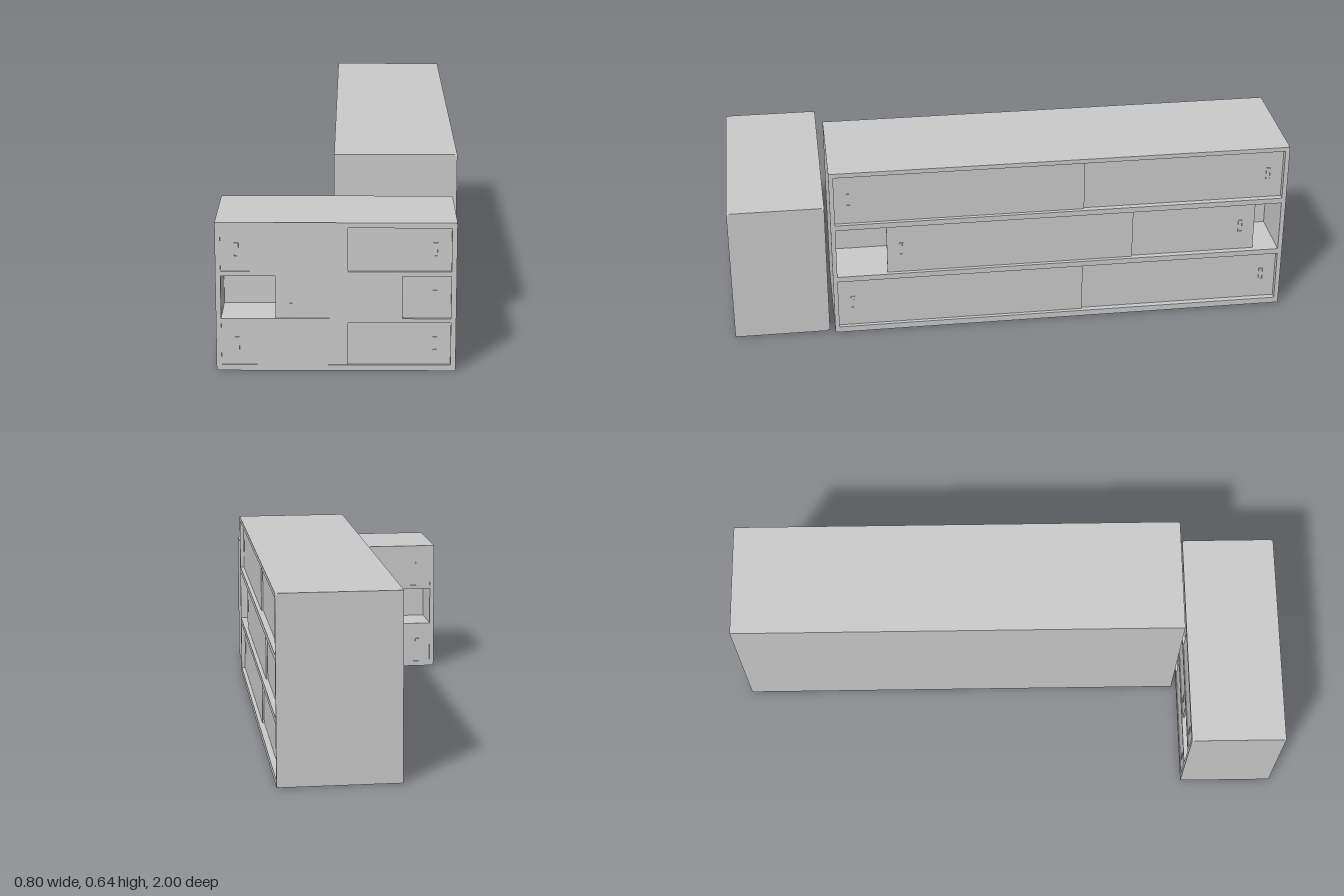
import * as THREE from 'three';

const mat = new THREE.MeshStandardMaterial({ color: 0xcccccc, side: THREE.DoubleSide });

function mesh(parent, name, geo) {
  const m = new THREE.Mesh(geo, mat);
  m.name = name;
  parent.add(m);
  return m;
}

// Box given by its minimum and maximum corners
function box(parent, name, x0, x1, y0, y1, z0, z1) {
  const m = mesh(parent, name, new THREE.BoxGeometry(x1 - x0, y1 - y0, z1 - z0));
  m.position.set((x0 + x1) / 2, (y0 + y1) / 2, (z0 + z1) / 2);
  return m;
}

function rect(target, x0, x1, y0, y1) {
  target.moveTo(x0, y0).lineTo(x1, y0).lineTo(x1, y1).lineTo(x0, y1).closePath();
  return target;
}

function roundedRect(x0, x1, y0, y1, r) {
  const s = new THREE.Shape();
  s.moveTo(x0 + r, y0).lineTo(x1 - r, y0).quadraticCurveTo(x1, y0, x1, y0 + r);
  s.lineTo(x1, y1 - r).quadraticCurveTo(x1, y1, x1 - r, y1);
  s.lineTo(x0 + r, y1).quadraticCurveTo(x0, y1, x0, y1 - r);
  s.lineTo(x0, y0 + r).quadraticCurveTo(x0, y0, x0 + r, y0);
  return s;
}

// Small rectangular finger pull: a thin raised rim around a shallow cup
function handle(parent, x, y, z, s) {
  const shape = rect(new THREE.Shape(), -0.0075, 0.0075, -0.023, 0.023);
  shape.holes.push(rect(new THREE.Path(), s > 0 ? -0.006 : -0.003, s > 0 ? 0.003 : 0.006, -0.021, 0.021));
  const m = mesh(parent, 'handle', new THREE.ExtrudeGeometry(shape, { depth: 0.003, bevelEnabled: false }));
  m.position.set(x, y, z);
}

// One bay of three rows with sliding doors, facing +z with its front plane at z = 0.
// side = -1 mirrors the door layout left to right.
function bay({ width, height, depth, wall, rows, doorWidth, shifts, recess, side = 1 }) {
  const g = new THREE.Group();
  g.name = 'bay';
  const h = width / 2, inner = h - wall, lip = 0.008;

  // Front frame with one opening per row
  const shape = roundedRect(-h, h, 0, height, 0.006);
  for (const [y0, y1] of rows) shape.holes.push(rect(new THREE.Path(), -inner, inner, y0, y1));
  const frame = mesh(g, 'frontFrame', new THREE.ExtrudeGeometry(shape, { depth: lip, bevelEnabled: false, curveSegments: 4 }));
  frame.position.z = -lip;

  // Sides, raised bottom board, shelves and top
  for (const s of [-1, 1]) {
    const a = s * h, b = s * inner;
    box(g, 'sidePanel', Math.min(a, b), Math.max(a, b), 0, height, -depth, -lip);
  }
  box(g, 'bottomBoard', -inner, inner, rows[0][0] - 0.006, rows[0][0], -depth, -lip);
  for (let i = 0; i < 2; i++) box(g, 'shelf', -inner, inner, rows[i][1], rows[i + 1][0], -depth, -lip);
  box(g, 'topBoard', -inner, inner, rows[2][1], height, -depth, -lip);

  // Sliding doors: the outer one on the near track, the inner one behind it
  const t = 0.006;
  rows.forEach(([y0, y1], i) => {
    const [outer, innerShift] = i === 1 ? shifts : [0, 0];
    const tracks = [
      ['outerDoor', -inner + outer, -inner + outer + doorWidth, -recess, 1],
      ['innerDoor', inner - innerShift - doorWidth, inner - innerShift, -recess - t - 0.001, -1],
    ];
    for (const [name, a, b, z, end] of tracks) {
      const [x0, x1] = side > 0 ? [a, b] : [-b, -a];
      box(g, name, x0, x1, y0, y1, z - t, z);
      const hx = (end > 0 ? a + 0.052 : b - 0.052) * side;
      handle(g, hx, (y0 + y1) / 2, z, side * end);
    }
  });
  return g;
}

export function createModel() {
  const model = new THREE.Group();
  model.name = 'cabinets';

  // Short cabinet, open from both faces with a partition between
  const short = new THREE.Group();
  short.name = 'shortCabinet';
  const shortSpec = {
    width: 0.785, height: 0.505, depth: 0.17, wall: 0.017, recess: 0.003,
    rows: [[0.02, 0.165], [0.18, 0.325], [0.34, 0.487]],
    doorWidth: 0.414, shifts: [0.178, 0],
  };
  const front = bay(shortSpec);
  front.position.z = 0.17;
  const back = bay({ ...shortSpec, side: -1 });
  back.rotation.y = Math.PI;
  back.position.z = -0.17;
  short.add(front, back);
  box(short, 'partition', -0.3755, 0.3755, 0, 0.487, -0.005, 0.005);
  short.position.set(-0.0075, 0, 0.829);
  model.add(short);

  // Long cabinet: a bay in front of a hollow rear shell
  const long = new THREE.Group();
  long.name = 'longCabinet';
  const w = 1.64, h = 0.645, bayDepth = 0.205, full = 0.417, wall = 0.016;
  long.add(bay({
    width: w, height: h, depth: bayDepth, wall, recess: 0.014,
    rows: [[0.022, 0.21], [0.23, 0.42], [0.44, 0.629]],
    doorWidth: 0.888, shifts: [0.18, 0.09],
  }));
  const half = w / 2;
  box(long, 'partition', -half + wall, half - wall, 0.016, h - wall, -bayDepth - 0.006, -bayDepth);
  box(long, 'backPanel', -half, half, 0, h, -full, -full + 0.008);
  box(long, 'rearTop', -half, half, h - wall, h, -full + 0.008, -bayDepth);
  for (const s of [-1, 1]) {
    const c = s * (half - wall / 2);
    box(long, 'rearSide', c - wall / 2, c + wall / 2, 0, h - wall, -full + 0.008, -bayDepth);
  }
  long.rotation.y = Math.PI / 2;
  long.position.set(0.4, 0, -0.18);
  model.add(long);

  return model;
}
